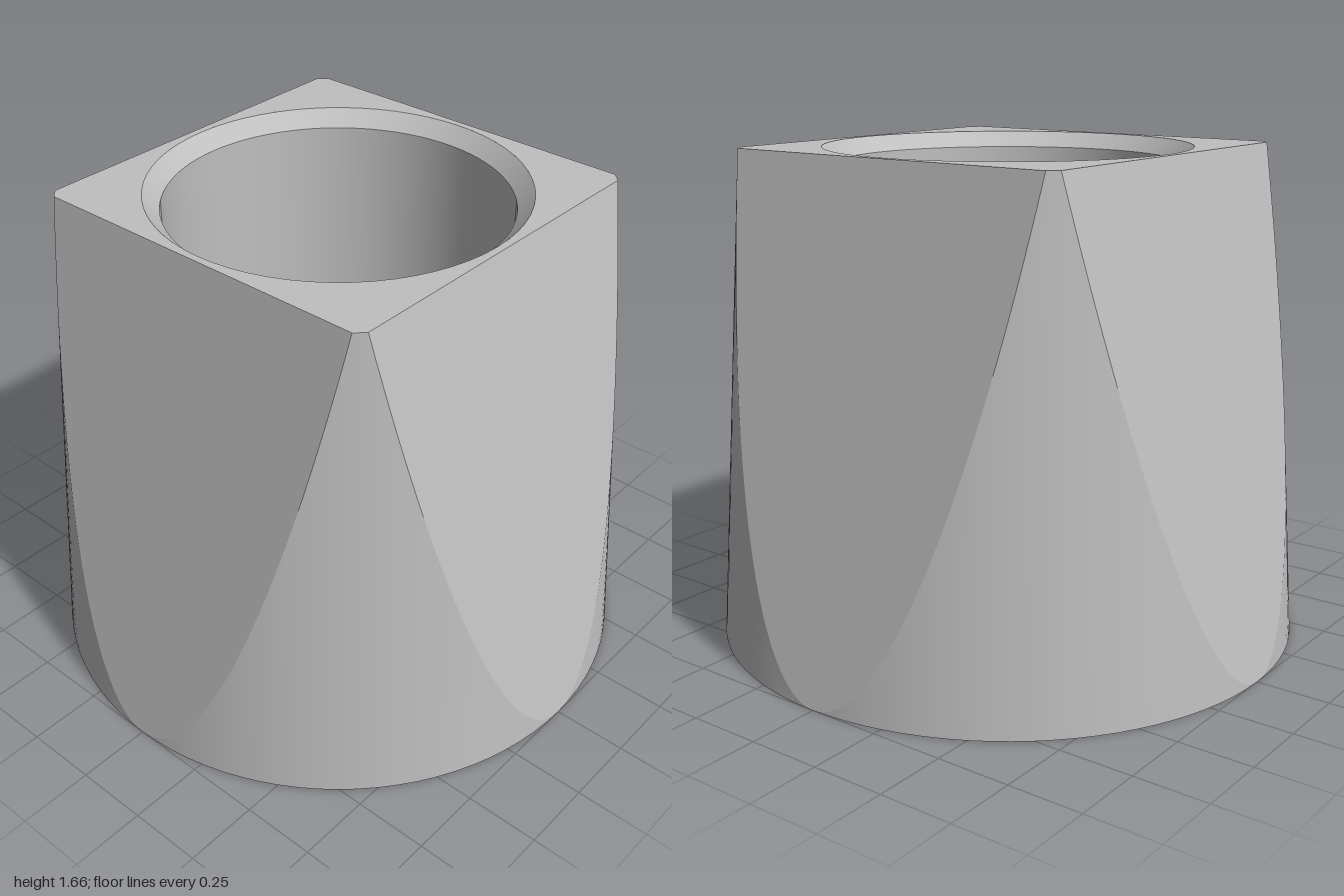
import * as THREE from 'three';
import { ParametricGeometry } from 'three/addons/geometries/ParametricGeometry.js';

const H = 1.66;        // height
const TOP_HALF = 0.643; // half width of the square top
const TOP_R = 0.888;   // radius of the round corners at the top
const BORE = 0.565, RIM = 0.618, CHAMFER = 0.053;

const halfAt = y => 1 - (1 - TOP_HALF) * y / H;
const radiusAt = y => 1 - (1 - TOP_R) * y / H;
const flatAngle = y => Math.acos(Math.min(1, halfAt(y) / radiusAt(y)));

export function createModel() {
  const group = new THREE.Group();
  const grey = new THREE.MeshStandardMaterial({ color: 0xbfbfbf });
  grey.name = 'plain grey';
  const add = (name, geometry) => {
    const mesh = new THREE.Mesh(geometry, grey);
    mesh.name = name;
    group.add(mesh);
    return mesh;
  };

  // Sloping flat, narrowing to a point at the round base (rows crowd at the base)
  const flat = new ParametricGeometry((u, v, p) => {
    const y = H * v * v, h = halfAt(y), r = radiusAt(y);
    const s = Math.sqrt(Math.max(0, r * r - h * h));
    p.set((u * 2 - 1) * s, y, h);
  }, 4, 40);
  flat.computeVertexNormals();

  // Conical corner between two neighbouring flats
  const corner = new ParametricGeometry((u, v, p) => {
    const y = H * v * v, r = radiusAt(y), a = flatAngle(y);
    const t = a + u * (Math.PI / 2 - 2 * a);
    p.set(Math.sin(t) * r, y, Math.cos(t) * r);
  }, 24, 40);
  corner.computeVertexNormals();

  for (let i = 0; i < 4; i++) {
    add('slopingFlat' + i, flat).rotation.y = i * Math.PI / 2;
    add('roundCorner' + i, corner).rotation.y = i * Math.PI / 2;
  }

  // Square top with clipped round corners and the bore opening
  const a = flatAngle(H), outline = new THREE.Shape();
  for (let i = 0; i < 4; i++) {
    const q = i * Math.PI / 2;
    outline.absarc(0, 0, TOP_R, q + a, q + Math.PI / 2 - a, false);
  }
  outline.closePath();
  outline.holes.push(new THREE.Path().absarc(0, 0, RIM, 0, Math.PI * 2, true));
  const top = add('topFace', new THREE.ShapeGeometry(outline, 32));
  top.rotation.x = -Math.PI / 2;
  top.position.y = H;

  // Ring-shaped underside
  add('baseFace', new THREE.RingGeometry(RIM, 1, 96)).rotation.x = Math.PI / 2;

  // Through bore with a chamfer at each end; profiles run downward to face inward
  const lathe = (name, r0, y0, r1, y1) => add(name, new THREE.LatheGeometry(
    [new THREE.Vector2(r0, y0), new THREE.Vector2(r1, y1)], 96));
  lathe('topChamfer', RIM, H, BORE, H - CHAMFER);
  lathe('bore', BORE, H - CHAMFER, BORE, CHAMFER);
  lathe('bottomChamfer', BORE, CHAMFER, RIM, 0);

  return group;
}
